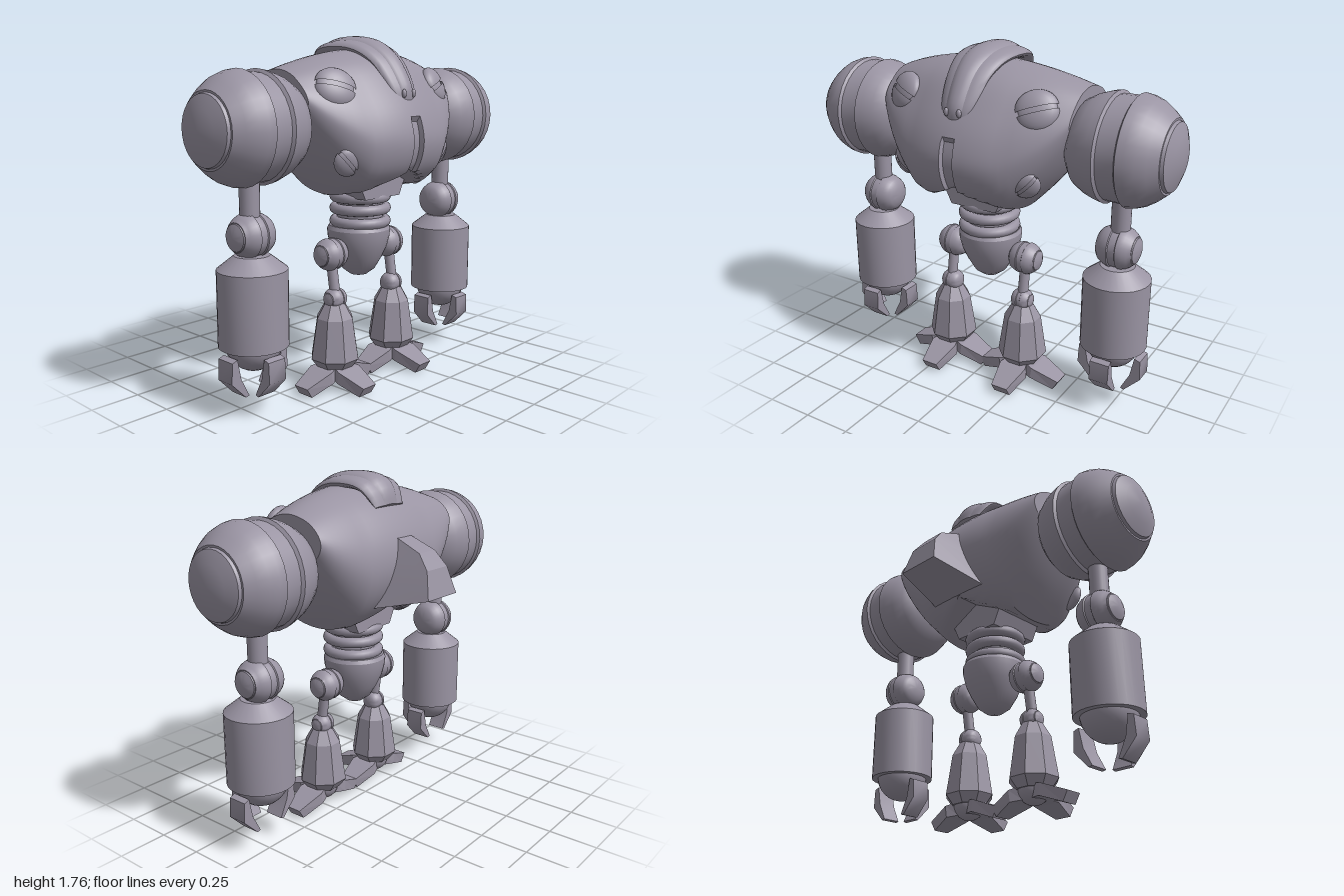
import * as THREE from 'three';
import { toCreasedNormals } from 'three/addons/utils/BufferGeometryUtils.js';

const color = 0x9a94a3;
const metal = new THREE.MeshStandardMaterial({ color });
const flat = new THREE.MeshStandardMaterial({ color, flatShading: true });
const thin = new THREE.MeshStandardMaterial({ color, side: THREE.DoubleSide });
const V = (x, y, z) => new THREE.Vector3(x, y, z);

function add(parent, name, geometry, x = 0, y = 0, z = 0, material = metal) {
  const mesh = new THREE.Mesh(geometry, material);
  mesh.name = name;
  mesh.position.set(x, y, z);
  parent.add(mesh);
  return mesh;
}

// Closed skin over a row of vertex loops, with end caps; faces are turned outward
function loft(rings, crease = 0.6) {
  const n = rings[0].length, pts = rings.flat(), tris = [];
  for (let i = 0; i < rings.length - 1; i++)
    for (let j = 0; j < n; j++) {
      const a = i * n + j, b = i * n + (j + 1) % n;
      tris.push([a, b, a + n], [b, b + n, a + n]);
    }
  [0, rings.length - 1].forEach((r, end) => {
    const mid = rings[r].reduce((s, p) => s.add(p), V(0, 0, 0)).divideScalar(n);
    const c = pts.push(mid) - 1;
    for (let j = 0; j < n; j++) {
      const a = r * n + j, b = r * n + (j + 1) % n;
      tris.push(end ? [a, b, c] : [b, a, c]);
    }
  });
  const volume = tris.reduce((s, [a, b, c]) => s + pts[a].dot(V(0, 0, 0).crossVectors(pts[b], pts[c])), 0);
  const g = new THREE.BufferGeometry().setFromPoints(pts);
  g.setIndex(tris.flatMap(([a, b, c]) => volume < 0 ? [a, c, b] : [a, b, c]));
  return toCreasedNormals(g, crease);
}

const lathe = (profile, segments = 32, crease = 0.5) =>
  toCreasedNormals(new THREE.LatheGeometry(profile.map(p => new THREE.Vector2(...p)), segments), crease);

// Ball joint on the x axis: recessed middle band, domed outer cap
function joint(scale, side) {
  const profile = [[0, -0.28], [0.1, -0.268], [0.165, -0.245], [0.21, -0.21], [0.24, -0.155], [0.258, -0.1],
    [0.265, -0.065], [0.25, -0.055], [0.252, 0.035], [0.266, 0.045], [0.26, 0.08], [0.243, 0.125], [0.213, 0.17],
    [0.175, 0.213], [0.165, 0.213], [0.16, 0.228], [0.1, 0.252], [0, 0.265]];
  return lathe(profile.map(([r, h]) => [r * scale, h * scale])).rotateZ(-side * Math.PI / 2);
}

// Torso: egg-shaped sections along x, with a front slot and a raised V underneath
function torsoGeometry() {
  const outline = new THREE.CatmullRomCurve3([[0.08, 1.69], [0.25, 1.635], [0.38, 1.49], [0.45, 1.36], [0.47, 1.25],
    [0.43, 1.13], [0.32, 1.04], [0.1, 1], [-0.1, 1.05], [-0.22, 1.17], [-0.27, 1.32], [-0.24, 1.47], [-0.12, 1.62]]
    .map(([z, y]) => V(0, y, z)), true).getPoints(64).slice(0, 64);
  const half = [0.032, 0.037, 0.08, 0.13, 0.18, 0.22, 0.26, 0.3, 0.34, 0.38, 0.42, 0.46, 0.49, 0.51, 0.522];
  const stations = [...half.map(x => -x).reverse(), 0, ...half];
  return loft(stations.map(x => {
    const d = Math.abs(x), e = Math.max(0, d - 0.25), q = (d / 0.525) ** 2;
    const top = 1.7 - 0.1 * q, low = 0.98 + e + 5 * e ** 3;
    const depth = Math.sqrt(1 - 0.7 * q), mid = 0.1 - 0.06 * q;
    return outline.map(p => {
      const y = Math.max(low + (p.y - 1) / 0.69 * (top - low), 1.12 - 0.5 * d);
      let z = mid + (p.z - 0.1) * depth;
      if (d < 0.034 && p.z > 0.25 && y < 1.36) z -= 0.025;
      return V(x, y, z);
    });
  }));
}

// Strip bent over the head; each path point is [halfWidth, y, z]
function crestGeometry(path, height) {
  const curve = new THREE.CatmullRomCurve3(path.map(p => V(...p)));
  const rings = [];
  for (let i = 0; i <= 28; i++) {
    const p = curve.getPoint(i / 28), t = curve.getTangent(i / 28).setX(0).normalize();
    const h = height * Math.sqrt(Math.max(0.15, 1 - Math.abs(i / 14 - 1) ** 6));
    rings.push(Array.from({ length: 20 }, (_, j) => {
      const a = j / 20 * Math.PI * 2, s = Math.sin(a) * h;
      return V(p.x * Math.cos(a), p.y - t.z * s, p.z + t.y * s);
    }));
  }
  return loft(rings, 0.8);
}

// Two half domes with a slit between them
function eye(parent, name, r, position, normal, tilt) {
  const group = new THREE.Group();
  group.name = name;
  group.position.copy(position);
  group.quaternion.setFromUnitVectors(V(0, 0, 1), normal.normalize());
  group.rotateZ(tilt);
  for (const s of [-1, 1]) {
    const dome = new THREE.SphereGeometry(r, 20, 12, 0, Math.PI);
    dome.rotateX(-Math.PI / 2).rotateZ(s < 0 ? Math.PI : 0).scale(1, 0.86, 0.45);
    add(group, 'eyelid', dome, 0, s * r * 0.11, 0, thin);
  }
  add(group, 'eyeSlit', new THREE.SphereGeometry(r * 0.93, 20, 12).scale(1, 0.86, 0.36));
  parent.add(group);
}

// Bent finger plate, reaching down along +z
function clawGeometry() {
  const shape = new THREE.Shape([[0.135, 0.3], [0.165, 0.29], [0.17, 0.19], [0.09, 0.107], [0.07, 0.112], [0.115, 0.2]]
    .map(p => new THREE.Vector2(...p)));
  const plate = new THREE.ExtrudeGeometry(shape, { depth: 0.1, bevelEnabled: false });
  return toCreasedNormals(plate.translate(0, 0, -0.05).rotateY(-Math.PI / 2), 0.9);
}

// Toe along +z from [reachTop, yTop, reachBottom, yBottom, halfWidth] sections
function toeGeometry() {
  return loft([[0.03, 0.12, 0.03, 0.05, 0.05], [0.1, 0.105, 0.09, 0.045, 0.075], [0.24, 0.05, 0.21, 0, 0.045]]
    .map(([zt, yt, zb, yb, w]) => [V(-w, yt, zt), V(w, yt, zt), V(w, yb, zb), V(-w, yb, zb)]), 0.1);
}

function buildArm(side) {
  const arm = new THREE.Group();
  arm.name = side > 0 ? 'leftArm' : 'rightArm';
  add(arm, 'shoulder', joint(1, side), 0.015 * side, 1.34, 0);
  add(arm, 'upperArm', new THREE.CylinderGeometry(0.048, 0.048, 0.24, 20), 0, 1.02, 0);
  add(arm, 'elbow', joint(0.4, side), 0, 0.85, 0);
  add(arm, 'forearm', lathe([[0, 0.33], [0.167, 0.33], [0.167, 0.695], [0.085, 0.76], [0, 0.76]], 28), 0, 0, 0.01);
  add(arm, 'palm', new THREE.SphereGeometry(0.136, 24, 16), 0, 0.345, 0.01);
  for (const turn of [-1, 0, 1])
    add(arm, 'claw', clawGeometry(), 0, 0, 0.005).rotation.y = turn * Math.PI / 2;
  arm.position.set(0.72 * side, 0, 0.06);
  return arm;
}

function buildLeg(side) {
  const leg = new THREE.Group();
  leg.name = side > 0 ? 'leftLeg' : 'rightLeg';
  add(leg, 'hip', joint(0.31, side), 0, 0.68, -0.03);
  add(leg, 'thigh', new THREE.CylinderGeometry(0.027, 0.027, 0.2, 16), 0, 0.56, -0.01).rotation.x = -0.15;
  add(leg, 'knee', joint(0.21, side), 0, 0.455, 0);
  const shin = new THREE.LatheGeometry([[0, 0.1], [0.09, 0.1], [0.128, 0.15], [0.096, 0.36], [0.05, 0.44], [0, 0.44]]
    .map(p => new THREE.Vector2(...p)), 8, Math.PI / 8);
  add(leg, 'shin', shin, 0, 0, 0, flat);
  add(leg, 'ankle', new THREE.SphereGeometry(0.08, 20, 14), 0, 0.105, 0);
  for (const turn of [-1, 0, 1])
    add(leg, 'toe', toeGeometry(), 0, 0, 0, flat).rotation.y = turn * Math.PI / 2;
  leg.position.set(0.222 * side, 0, 0.115);
  return leg;
}

export function createModel() {
  const model = new THREE.Group();
  model.name = 'robot';
  add(model, 'torso', torsoGeometry());

  // Head crest with its flange and nostrils
  const spine = [[1.435, 0.385], [1.52, 0.345], [1.63, 0.265], [1.69, 0.17], [1.71, 0.04], [1.69, -0.08], [1.6, -0.15]];
  const widen = widths => spine.map(([y, z], i) => [widths[i], y, z]);
  add(model, 'crest', crestGeometry(widen([0.05, 0.06, 0.07, 0.085, 0.095, 0.095, 0.06]), 0.053));
  add(model, 'crestFlange', crestGeometry(widen([0.07, 0.095, 0.115, 0.135, 0.15, 0.148, 0.11]), 0.038));
  for (const x of [-0.035, 0.035])
    add(model, 'nostril', new THREE.SphereGeometry(0.016, 12, 8).scale(0.8, 1.3, 0.7), x, 1.485, 0.4);

  // Tail fin levels: [yBack, zBack, halfWidthBack, yFront, halfWidthFront]
  add(model, 'tailFin', loft([[1.46, -0.24, 0.055, 1.46, 0.06], [1.4, -0.38, 0.065, 1.4, 0.085],
    [1.325, -0.44, 0.085, 1.3, 0.125], [1.19, -0.475, 0.12, 1.12, 0.18]]
    .map(([yb, zb, wb, yf, wf]) => [V(-wf, yf, -0.18), V(-wb, yb, zb), V(wb, yb, zb), V(wf, yf, -0.18)]), 0.1));

  // Collar, ribbed waist and pelvis
  const collar = new THREE.Shape([[-0.18, 1.06], [-0.13, 0.96], [0.13, 0.96], [0.18, 1.06], [0, 1.14]]
    .map(p => new THREE.Vector2(...p)));
  add(model, 'collar', new THREE.ExtrudeGeometry(collar, { depth: 0.3, bevelEnabled: false }), 0, 0, -0.06, flat);
  add(model, 'waist', new THREE.CylinderGeometry(0.12, 0.12, 0.25, 28), 0, 0.9, 0.085);
  for (const y of [0.955, 0.893, 0.825])
    add(model, 'waistRing', new THREE.TorusGeometry(0.132, 0.028, 12, 36).rotateX(Math.PI / 2), 0, y, 0.085);
  add(model, 'pelvis', lathe([[0, 0.53], [0.045, 0.54], [0.085, 0.57], [0.12, 0.63], [0.148, 0.69], [0.163, 0.75],
    [0.165, 0.785], [0.155, 0.805], [0, 0.805]]), 0, 0, 0.075);

  for (const side of [-1, 1]) {
    eye(model, 'upperEye', 0.102, V(0.37 * side, 1.515, 0.265), V(0.32 * side, 0.42, 0.85), 0.35 * side);
    eye(model, 'lowerEye', 0.07, V(0.35 * side, 1.175, 0.325), V(0.32 * side, -0.25, 0.9), 0.75 * side);
    model.add(buildArm(side), buildLeg(side));
  }
  return model;
}
